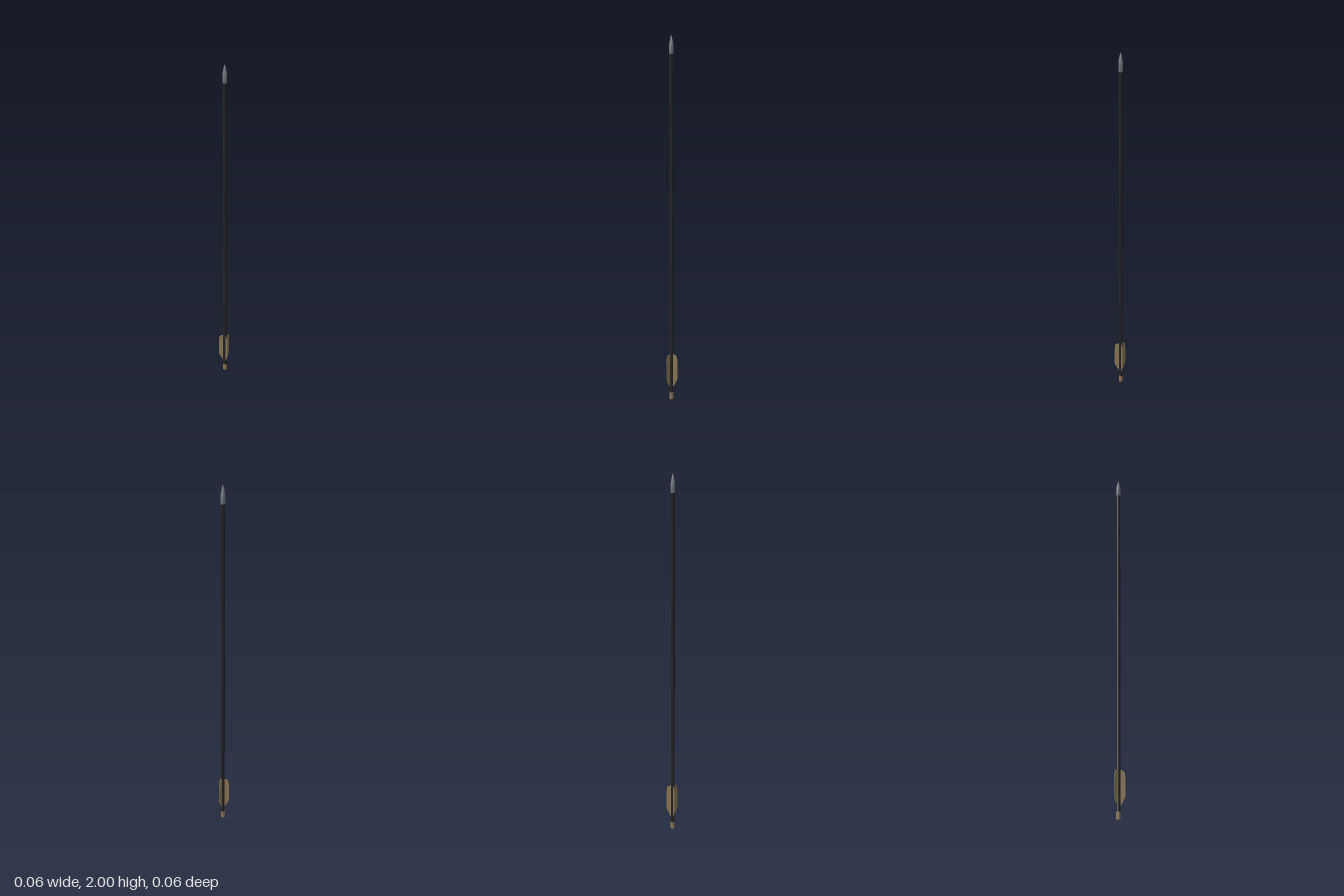
import * as THREE from 'three';

const material = (color) => new THREE.MeshStandardMaterial({ color });

// Surface of revolution from [radius, height] pairs
function turned(name, profile, mat) {
  const points = profile.map(([r, y]) => new THREE.Vector2(r, y));
  const mesh = new THREE.Mesh(new THREE.LatheGeometry(points, 24), mat);
  mesh.name = name;
  return mesh;
}

export function createModel() {
  const arrow = new THREE.Group();
  arrow.name = 'arrow';
  const dark = material(0x222226);
  const steel = material(0x73797f);
  const tan = material(0x8a7754);

  // Shaft
  const shaft = new THREE.Mesh(new THREE.CylinderGeometry(0.0108, 0.0108, 1.87, 24), dark);
  shaft.name = 'shaft';
  shaft.position.y = 0.97;
  arrow.add(shaft);

  // Metal point: a sleeve, then a curved taper
  arrow.add(turned('pointSleeve', [[0, 1.9], [0.0118, 1.9], [0.0118, 1.945]], steel));
  arrow.add(turned('pointTip', [[0.0118, 1.945], [0.0098, 1.96], [0.0062, 1.98], [0.0025, 1.994], [0, 2]], steel));

  // Nock at the tail
  const nock = new THREE.Mesh(new THREE.CylinderGeometry(0.0114, 0.0114, 0.04, 24), tan);
  nock.name = 'nock';
  nock.position.y = 0.02;
  arrow.add(nock);

  // Three vanes, one pointing straight back
  const outline = [[0.008, 0.07], [0.014, 0.075], [0.0365, 0.12], [0.0365, 0.205], [0.032, 0.248], [0.022, 0.257], [0.008, 0.26]];
  const shape = new THREE.Shape(outline.map(([x, y]) => new THREE.Vector2(x, y)));
  const thickness = 0.003;
  const vaneGeometry = new THREE.ExtrudeGeometry(shape, { depth: thickness, bevelEnabled: false });
  vaneGeometry.translate(0, 0, -thickness / 2);
  for (let i = 0; i < 3; i++) {
    const vane = new THREE.Mesh(vaneGeometry, tan);
    vane.name = `vane${i + 1}`;
    vane.rotation.y = Math.PI / 2 + (i * Math.PI * 2) / 3;
    arrow.add(vane);
  }

  // Centre the vane footprint on z = 0
  arrow.position.z = 0.008;
  const model = new THREE.Group();
  model.add(arrow);
  return model;
}
